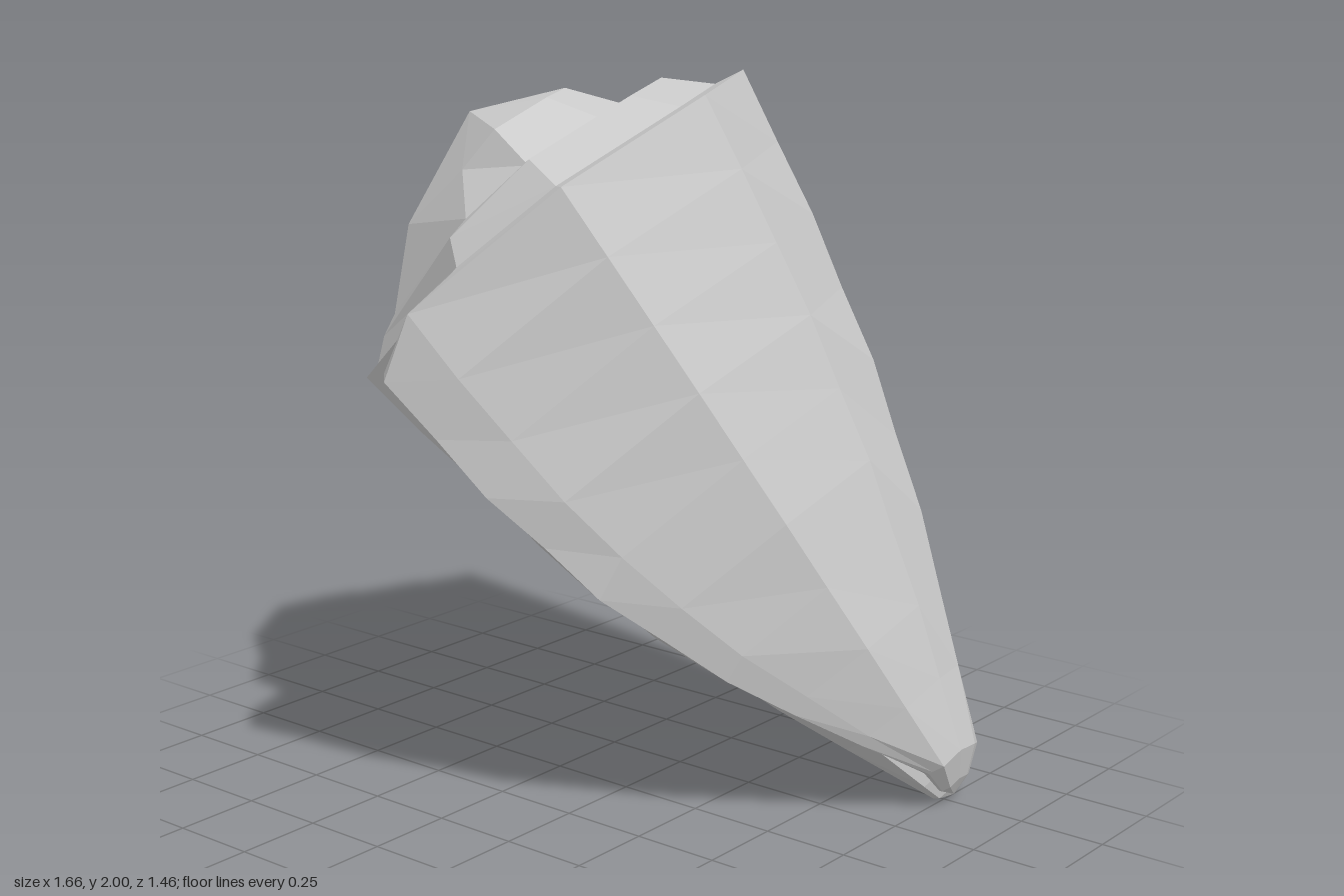
import * as THREE from 'three';

// Each rib runs from the shoulder [0] to the narrow tip [1], bowed by [2] at the middle.
const RIBS = {
  right: [[0.25, 1.98, -0.02], [0.83, 0.18, -0.45], [0.03, 0.02, -0.04]],
  backRight: [[0.03, 2.0, -0.48], [0.82, 0.17, -0.54], [0.04, 0.02, -0.07]],
  back: [[-0.37, 1.75, -0.7], [0.78, 0.14, -0.62], [0, 0, -0.06]],
  backLeft: [[-0.72, 1.42, -0.53], [0.72, 0.08, -0.61], [-0.04, -0.04, -0.06]],
  left: [[-0.83, 1.17, -0.07], [0.67, 0.04, -0.55], [-0.05, -0.08, 0]],
  frontLeft: [[-0.6, 1.18, 0.4], [0.68, 0.03, -0.45], [-0.02, -0.04, 0.08]],
  inner: [[-0.14, 1.54, 0.54], [0.74, 0.06, -0.41], [-0.02, -0.05, 0.1]],
  groove: [[0.05, 1.6, 0.42], [0.77, 0.1, -0.45], [0, -0.02, 0.06]],
  lipInner: [[-0.24, 1.29, 0.69], [0.75, 0.11, -0.39], [-0.02, -0.06, 0.14]],
  lipOuter: [[-0.2, 1.28, 0.73], [0.78, 0.12, -0.37], [0, -0.06, 0.15]],
  lipBack: [[-0.14, 1.46, 0.7], [0.79, 0.13, -0.37], [0.01, -0.05, 0.14]],
  front: [[0.15, 1.78, 0.44], [0.82, 0.15, -0.38], [0.04, 0.01, 0.04]],
};
const vec = (p) => new THREE.Vector3(...p);

function faceted(name, triangles) {
  const geometry = new THREE.BufferGeometry().setFromPoints(triangles);
  geometry.computeVertexNormals();
  const material = new THREE.MeshStandardMaterial({
    color: 0xcccccc, flatShading: true, side: THREE.DoubleSide,
  });
  const mesh = new THREE.Mesh(geometry, material);
  mesh.name = name;
  return mesh;
}

// Joins an upper closed ring to a lower one.
function band(out, upper, lower) {
  upper.forEach((u, i) => {
    const j = (i + 1) % upper.length;
    out.push(u, lower[i], lower[j], u, lower[j], upper[j]);
  });
}

// Tapering body whorl with the folded slit of the opening
function makeBody() {
  const steps = 9;
  const ribs = Object.values(RIBS);
  const rings = [];
  for (let k = 0; k <= steps; k++) {
    const t = k / steps;
    const bow = Math.sin(Math.PI * t);
    rings.push(ribs.map(([top, tip, bulge], i) => {
      const ripple = 1 + 0.06 * Math.sin(i * 2.3 + k * 2.9);
      return vec(top).lerp(vec(tip), t).addScaledVector(vec(bulge), bow * ripple);
    }));
  }

  // Rounded, closed tip
  const middle = new THREE.Vector3(0.76, 0.11, -0.48);
  const drop = new THREE.Vector3(0.01, -0.068, -0.02);
  rings.push(rings[steps].map((p) => p.clone().lerp(middle, 0.45).add(drop)));
  rings.push(ribs.map(() => middle.clone().add(drop).add(new THREE.Vector3(0, -0.03, -0.02))));

  const out = [];
  for (let k = 1; k < rings.length; k++) band(out, rings[k - 1], rings[k]);
  return faceted('bodyWhorl', out);
}

// Upper edge of the flared lip
function makeLipTop() {
  const at = (name) => vec(RIBS[name][0]);
  const out = [
    ['inner', 'lipInner', 'lipBack'],
    ['lipInner', 'lipOuter', 'lipBack'],
    ['inner', 'lipBack', 'front'],
  ].flat().map(at);
  return faceted('lipTop', out);
}

// Terraced shoulder and domed spire, in rings about the shell's axis
function makeSpire() {
  const center = new THREE.Vector3(-0.28, 1.586, -0.05);
  const axis = new THREE.Vector3(-0.584, 0.764, 0.274);
  const names = ['right', 'backRight', 'back', 'backLeft', 'left', 'frontLeft', 'inner', 'front'];
  const rim = names.map((n) => vec(RIBS[n][0]));
  // Scale and height of each terrace; above the opening they crowd towards the rim.
  const levels = [
    { scale: 0.87, height: 0.02, frontLeft: [0.93, 0.01], inner: [0.93, 0.01] },
    { scale: 0.71, height: 0.13, frontLeft: [0.84, 0.06], inner: [0.82, 0.09] },
    { scale: 0.525, height: 0.135, frontLeft: [0.75, 0.09], inner: [0.62, 0.12] },
    { scale: 0.37, height: 0.28, frontLeft: [0.48, 0.26], inner: [0.38, 0.25] },
  ];
  const out = [];
  let lower = rim;
  for (const level of levels) {
    const ring = rim.map((p, i) => {
      const [scale, height] = level[names[i]] ?? [level.scale, level.height];
      return center.clone().lerp(p, scale).addScaledVector(axis, height);
    });
    band(out, ring, lower);
    lower = ring;
  }
  const apex = center.clone().addScaledVector(axis, 0.4);
  lower.forEach((p, i) => out.push(apex, p, lower[(i + 1) % lower.length]));
  return faceted('spire', out);
}

export function createModel() {
  const shell = new THREE.Group();
  shell.name = 'coneShell';
  shell.add(makeBody(), makeLipTop(), makeSpire());
  return shell;
}
